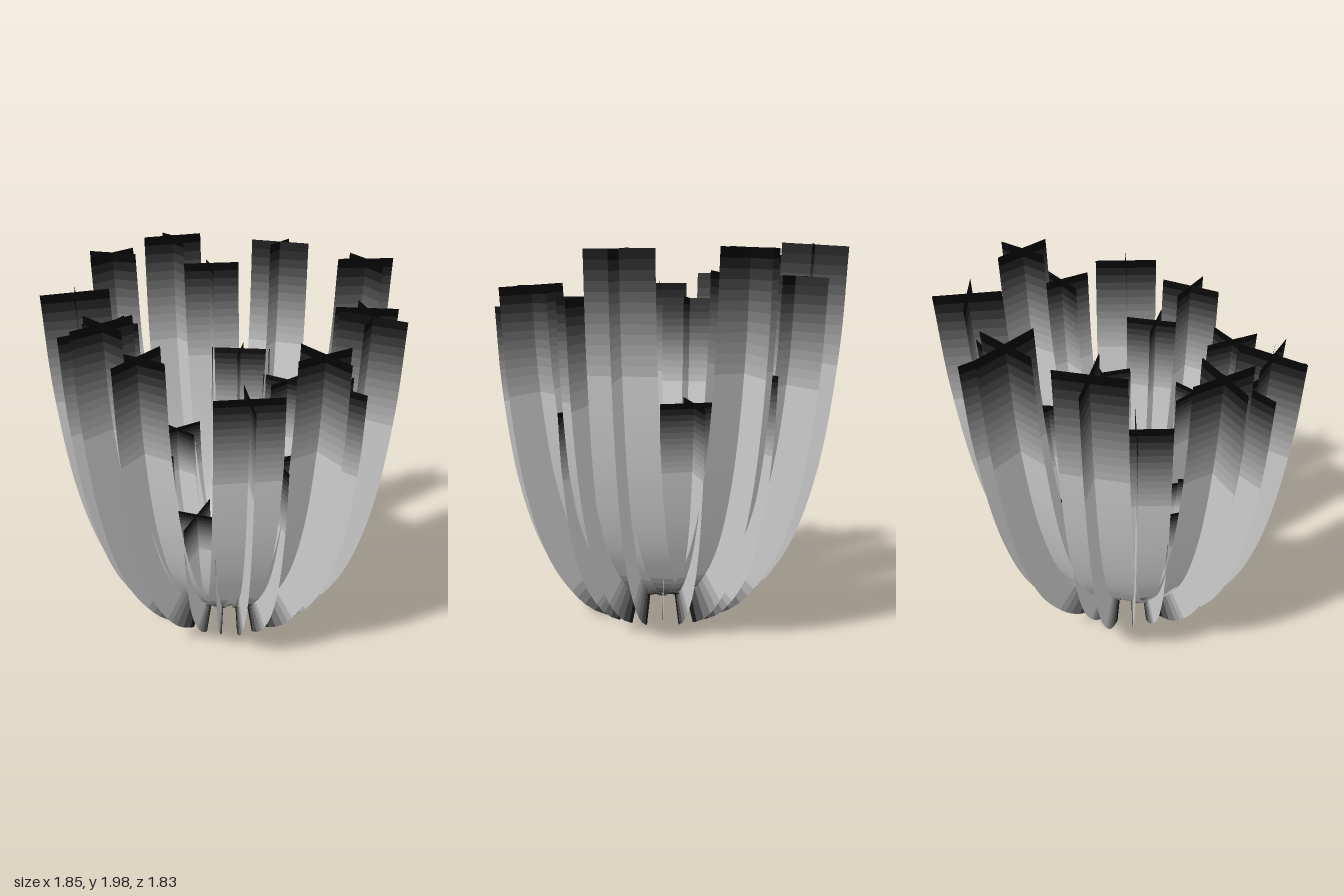
import * as THREE from 'three';

const HALF = 0.17;       // half width of a blade strip
const START_R = 0.245;   // radius of the open centre
const START_Y = 0.16;    // height of the blade roots
const SEGMENTS = 40;

// Tip height of each blade, every 15 degrees from +x towards +z
const TIP_HEIGHTS = [
  1.46, 1.675, 1.13, 1.49, 0.7, 0.78, 1.665, 1.795,
  1.705, 1.855, 0.9, 1.6, 1.935, 0.94, 1.98, 1.82,
  1.35, 1.945, 1.21, 0.53, 1.935, 1.72, 1.17, 1.775,
];

// Outward and upward sweep of a blade of unit height
const SWEEP = new THREE.CatmullRomCurve3(
  [[0, 0], [0.055, 0.027], [0.107, 0.08], [0.17, 0.177], [0.238, 0.38], [0.29, 0.709], [0.31, 1]]
    .map(([r, y]) => new THREE.Vector3(r, y, 0)),
);

// One grey per segment: black at root and tip, light between
function bandMaterials() {
  return Array.from({ length: SEGMENTS }, (_, i) => {
    const t = (i + 0.5) / SEGMENTS;
    const light = THREE.MathUtils.smoothstep(t, 0, 0.17) * THREE.MathUtils.smoothstep(1 - t, 0, 0.42);
    const color = new THREE.Color(0xcccccc).multiplyScalar(light);
    return new THREE.MeshStandardMaterial({ color, side: THREE.DoubleSide });
  });
}

// Strip along the sweep; offset(tangent) gives its half-width vector
function stripGeometry(height, offset) {
  const positions = [];
  const index = [];
  const geometry = new THREE.BufferGeometry();
  for (let i = 0; i <= SEGMENTS; i++) {
    const t = i / SEGMENTS;
    const p = SWEEP.getPointAt(t).multiplyScalar(height);
    p.x += START_R;
    p.y += START_Y;
    const o = offset(SWEEP.getTangentAt(t));
    positions.push(...p.clone().sub(o).toArray(), ...p.clone().add(o).toArray());
    if (i < SEGMENTS) {
      const a = i * 2;
      index.push(a, a + 2, a + 1, a + 1, a + 2, a + 3);
      geometry.addGroup(i * 6, 6, i);
    }
  }
  geometry.setAttribute('position', new THREE.Float32BufferAttribute(positions, 3));
  geometry.setIndex(index);
  geometry.computeVertexNormals();
  return geometry;
}

export function createModel() {
  const model = new THREE.Group();
  model.name = 'bladeCluster';
  const materials = bandMaterials();

  const ring = new THREE.Group();
  ring.name = 'bladeRing';
  ring.position.set(0.04, 0, 0.025);
  model.add(ring);

  TIP_HEIGHTS.forEach((tip, i) => {
    const blade = new THREE.Group();
    blade.name = 'blade';
    const height = tip - START_Y;
    // Broad face around the ring
    const face = new THREE.Mesh(
      stripGeometry(height, () => new THREE.Vector3(0, 0, HALF)), materials);
    face.name = 'bladeFace';
    // Fin crossing the face at a right angle
    const fin = new THREE.Mesh(
      stripGeometry(height, (t) => new THREE.Vector3(t.y, -t.x, 0).multiplyScalar(HALF)), materials);
    fin.name = 'bladeFin';
    blade.add(face, fin);
    blade.rotation.y = -i * Math.PI / 12;
    ring.add(blade);
  });
  return model;
}
